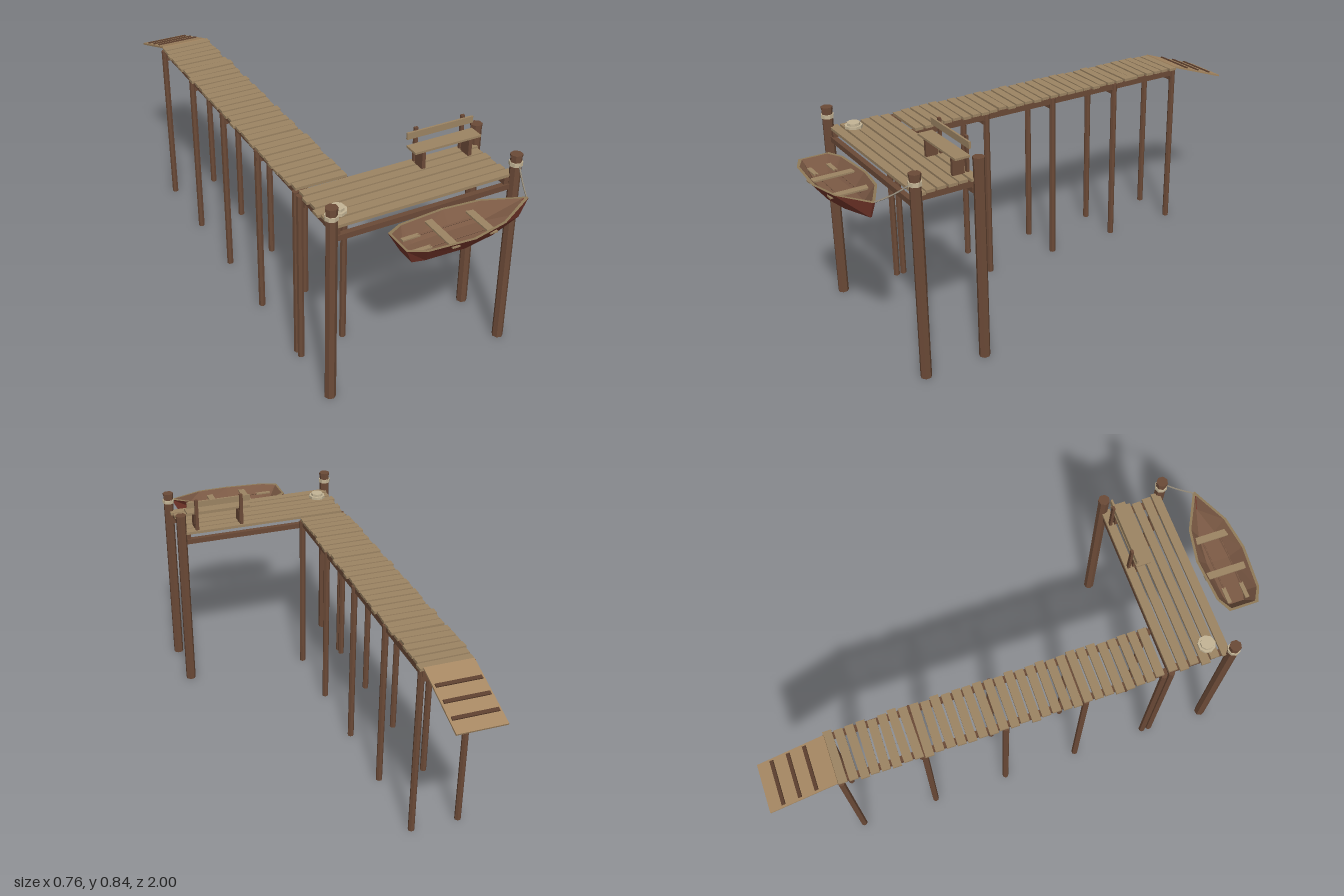
import * as THREE from 'three';

const mat = (name, color, extra = {}) => {
  const m = new THREE.MeshStandardMaterial({ color, flatShading: true, ...extra });
  m.name = name;
  return m;
};

export function createModel() {
  const root = new THREE.Group();
  root.name = 'jetty';
  const plank = mat('weatheredPlank', 0x9c8463);
  const rampWood = mat('rampWood', 0xa68863);
  const timber = mat('darkTimber', 0x6b4a37);
  const cleatWood = mat('cleatWood', 0x5c3f2e);
  const ropeMat = mat('rope', 0xc4b596);
  const lineMat = mat('mooringLine', 0x8f8676);
  const red = mat('hullRed', 0x7a382c, { side: THREE.DoubleSide });
  const inside = mat('hullInside', 0x7c5a45, { side: THREE.DoubleSide });
  const rail = mat('gunwaleWood', 0x8f7a58, { side: THREE.DoubleSide });

  let seed = 7;
  const jitter = (a) => {
    seed = (seed * 16807) % 2147483647;
    return (seed / 2147483647 - 0.5) * 2 * a;
  };
  const add = (name, geo, material, x, y, z, parent = root) => {
    const m = new THREE.Mesh(geo, material);
    m.name = name;
    m.position.set(x, y, z);
    parent.add(m);
    return m;
  };
  const box = (name, material, w, h, d, x, y, z, parent) =>
    add(name, new THREE.BoxGeometry(w, h, d), material, x, y, z, parent);
  const post = (name, material, r, y0, y1, x, z, sides = 7, parent) =>
    add(name, new THREE.CylinderGeometry(r, r, y1 - y0, sides), material, x, (y0 + y1) / 2, z, parent);
  const group = (name) => {
    const g = new THREE.Group();
    g.name = name;
    root.add(g);
    return g;
  };

  // Walkway: planks on two stringers, with a crossbeam and two piles per bay
  const walk = group('walkway');
  const count = 31, pitch = 1.25 / count;
  for (let i = 0; i < count; i++) {
    const p = box('walkwayPlank', plank, 0.2 + jitter(0.006), 0.011, 0.033,
      -0.257 + jitter(0.005), 0.701 + jitter(0.0015), 0.49 - i * pitch, walk);
    p.rotation.y = jitter(0.02);
  }
  for (const x of [-0.335, -0.17]) box('stringer', timber, 0.02, 0.025, 1.26, x, 0.683, -0.11, walk);
  for (const z of [0.505, 0.2, -0.108, -0.415, -0.725]) {
    box('crossbeam', timber, 0.2, 0.021, 0.02, -0.257, 0.66, z, walk);
    for (const x of [-0.35, -0.163]) post('walkwayPile', timber, 0.0125, 0, 0.694, x, z, 7, walk);
  }

  // Platform: long planks over joists and beams
  const deck = group('platform');
  for (let i = 0; i < 6; i++) {
    const p = box('platformPlank', plank, 0.7 + jitter(0.008), 0.011, 0.034,
      -0.005 + jitter(0.006), 0.701 + jitter(0.001), 0.541 + i * 0.0415, deck);
    p.rotation.y = jitter(0.003);
  }
  for (const x of [-0.332, 0.325]) box('joist', timber, 0.022, 0.025, 0.23, x, 0.683, 0.65, deck);
  for (const z of [0.54, 0.76]) box('platformBeam', timber, 0.68, 0.021, 0.02, 0, 0.66, z, deck);
  post('innerCornerPile', timber, 0.0125, 0, 0.694, -0.35, 0.535, 7, deck);

  // Tall corner piles with caps; the front two carry rope wraps
  for (const [x, z, wrapped] of [[-0.355, 0.768, true], [0.353, 0.768, true], [0.353, 0.53, false]]) {
    post('cornerPile', timber, 0.0208, 0, 0.778, x, z, 7, deck).rotation.y = 0.2;
    post('pileCap', timber, 0.0225, 0.774, 0.785, x, z, 7, deck).rotation.y = 0.2;
    if (wrapped) post('ropeWrap', ropeMat, 0.0245, 0.742, 0.757, x, z, 8, deck);
  }

  // Sloping ramp with cleats
  const ramp = group('ramp');
  ramp.position.set(-0.258, 0.659, -0.867);
  ramp.rotation.x = -Math.atan2(0.09, 0.26);
  box('rampBoard', rampWood, 0.187, 0.007, 0.28, 0, 0, 0, ramp);
  for (const z of [-0.08, -0.011, 0.057]) box('rampCleat', cleatWood, 0.17, 0.007, 0.014, 0, 0.005, z, ramp);

  // Bench
  const bench = group('bench');
  box('benchSeat', plank, 0.268, 0.008, 0.058, 0.189, 0.778, 0.574, bench);
  box('benchBack', plank, 0.268, 0.025, 0.008, 0.189, 0.8175, 0.545, bench);
  for (const x of [0.095, 0.285]) {
    box('benchLeg', timber, 0.014, 0.07, 0.046, x, 0.74, 0.574, bench);
    box('benchBackPost', timber, 0.014, 0.137, 0.01, x, 0.771, 0.537, bench);
  }

  // Coiled rope
  post('coilLower', ropeMat, 0.034, 0.706, 0.717, -0.294, 0.693, 9);
  post('coilUpper', ropeMat, 0.025, 0.717, 0.727, -0.294, 0.693, 9);

  // Rowing boat, lofted from cross-sections
  const boat = group('rowingBoat');
  boat.position.z = 0.897;
  const loft = (name, rings, material, closed = false) => {
    const pos = [];
    for (let i = 0; i < rings.length - 1; i++) {
      const a = rings[i], b = rings[i + 1], n = a.length;
      for (let j = 0; j < (closed ? n : n - 1); j++) {
        const k = (j + 1) % n;
        pos.push(...a[j], ...a[k], ...b[k], ...a[j], ...b[k], ...b[j]);
      }
    }
    const g = new THREE.BufferGeometry();
    g.setAttribute('position', new THREE.Float32BufferAttribute(pos, 3));
    g.computeVertexNormals();
    return add(name, g, material, 0, 0, 0, boat);
  };
  // top x, bottom x, top half-width, bottom half-width, top y, bottom y
  const sections = [
    [-0.19, -0.155, 0.058, 0.035, 0.678, 0.612],
    [-0.13, -0.11, 0.087, 0.045, 0.677, 0.612],
    [0.04, 0.04, 0.1, 0.05, 0.678, 0.612],
    [0.17, 0.155, 0.078, 0.038, 0.686, 0.621],
    [0.313, 0.28, 0.004, 0.003, 0.697, 0.631],
  ];
  const ring = ([xt, xb, wt, wb, yt, yb]) => [[xt, yt, wt], [xb, yb, wb], [xb, yb, -wb], [xt, yt, -wt]];
  const outer = sections.map(ring);
  const inner = sections.map(([xt, xb, wt, wb, yt, yb], i) => {
    const dx = i === 0 ? 0.009 : i === 4 ? -0.018 : 0;
    return ring([xt + dx, xb + dx, Math.max(wt - 0.01, 0.002), Math.max(wb - 0.005, 0.002), yt, yb + 0.01]);
  });
  const outline = (rings) => [...rings.map((r) => r[0]), ...rings.map((r) => r[3]).reverse()];
  const ends = (r) => [[r[0], r[1]], [r[3], r[2]]];
  loft('hullOutside', outer, red);
  loft('hullInside', inner, inside);
  loft('transomOutside', ends(outer[0]), red);
  loft('transomInside', ends(inner[0]), inside);
  loft('stem', ends(outer[4]), red);
  loft('gunwale', [outline(outer), outline(inner)], rail, true);
  for (const [x, half] of [[-0.026, 0.09], [0.125, 0.079]])
    box('thwart', plank, 0.028, 0.006, half * 2, x, 0.663, 0, boat);
  for (const z of [-0.036, 0.036]) {
    box('oarBlade', plank, 0.065, 0.005, 0.016, -0.118, 0.652, z, boat);
    const shaft = post('oarShaft', inside, 0.003, 0, 0.22, 0.02, z, 6, boat);
    shaft.position.y = 0.652;
    shaft.rotation.z = Math.PI / 2;
  }

  // Mooring line from the pile to the bow
  const sag = new THREE.QuadraticBezierCurve3(new THREE.Vector3(0.355, 0.75, 0.785),
    new THREE.Vector3(0.333, 0.713, 0.835), new THREE.Vector3(0.309, 0.697, 0.895));
  add('mooringLine', new THREE.TubeGeometry(sag, 8, 0.003, 5), lineMat, 0, 0, 0);

  return root;
}
